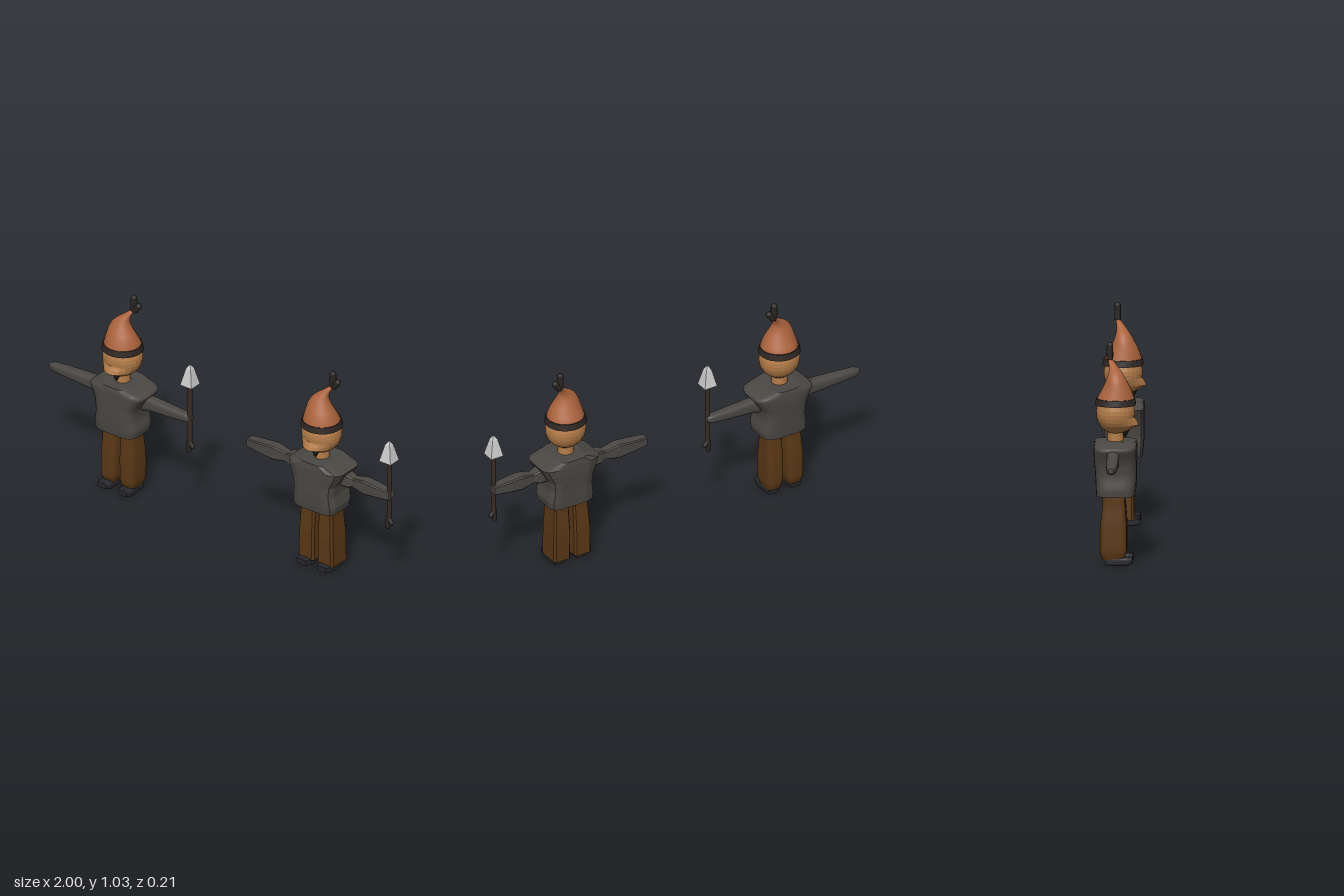
import * as THREE from 'three';

const COLORS = {
  skin: 0xb27b48, hat: 0xac643e, band: 0x2f2723, shirt: 0x4b4844, pants: 0x5a3816,
  shoe: 0x26272c, wood: 0x3a2b21, feather: 0x2a2522, metal: 0xcccccc,
};
const mat = (name, flat) => new THREE.MeshStandardMaterial({ color: COLORS[name], flatShading: flat });

// Closed loft through rings [y, centreX, centreZ, halfX, halfZ]; e < 1 squares the section
function loft(rings, sides, e, steps = 1) {
  const n = (rings.length - 1) * steps;
  const a = new THREE.CatmullRomCurve3(rings.map(r => new THREE.Vector3(r[1], r[0], r[2])));
  const b = new THREE.CatmullRomCurve3(rings.map(r => new THREE.Vector3(r[3], 0, r[4])));
  const pos = [], idx = [];
  const power = v => Math.sign(v) * Math.pow(Math.abs(v), e);
  const addRing = t => {
    const c = a.getPoint(t), s = b.getPoint(t);
    for (let j = 0; j < sides; j++) {
      const w = (j + 0.5) / sides * Math.PI * 2;
      pos.push(c.x + power(Math.cos(w)) * s.x, c.y, c.z + power(Math.sin(w)) * s.z);
    }
    return c;
  };
  for (let i = 0; i <= n; i++) addRing(i / n);
  for (let i = 0; i < n; i++) {
    for (let j = 0; j < sides; j++) {
      const p = i * sides + j, q = i * sides + (j + 1) % sides;
      idx.push(p, p + sides, q, q, p + sides, q + sides);
    }
  }
  // End caps with their own vertices, so their edges stay sharp
  for (const t of [0, 1]) {
    const start = pos.length / 3;
    const c = addRing(t);
    pos.push(c.x, c.y, c.z);
    for (let j = 0; j < sides; j++) {
      const p = start + j, q = start + (j + 1) % sides;
      if (t) idx.push(p, start + sides, q);
      else idx.push(p, q, start + sides);
    }
  }
  const g = new THREE.BufferGeometry();
  g.setAttribute('position', new THREE.Float32BufferAttribute(pos, 3));
  g.setIndex(idx);
  g.computeVertexNormals();
  return g;
}

// Faceted ball with a jaw pushed forward
function headGeometry() {
  const g = new THREE.SphereGeometry(1, 24, 16).scale(0.098, 0.097, 0.09);
  const p = g.attributes.position;
  for (let i = 0; i < p.count; i++) {
    const x = p.getX(i), y = p.getY(i), z = p.getZ(i);
    if (z <= 0.02) continue;
    const bump = Math.max(0, 1 - Math.abs(y + 0.055) / 0.035);
    p.setZ(i, z + 0.034 * bump * Math.max(0, 1 - (x / 0.085) ** 2));
  }
  g.computeVertexNormals();
  return g;
}

// Two-lobed tuft standing on its origin
function tuft(name, size) {
  const group = new THREE.Group();
  group.name = name;
  for (const [x, y, tilt, len] of [[0, 0.05, 0, 0.062], [0.018, 0.03, -0.65, 0.035]]) {
    const lobe = new THREE.Mesh(new THREE.CapsuleGeometry(0.016, len, 4, 10), mat('feather', false));
    lobe.position.set(x, y, 0);
    lobe.rotation.z = tilt;
    lobe.name = name + 'Lobe';
    group.add(lobe);
  }
  group.scale.setScalar(size);
  return group;
}

function figure(name, smooth) {
  const group = new THREE.Group();
  group.name = name;
  const add = (part, geometry, color, flat = !smooth) => {
    const m = new THREE.Mesh(geometry, mat(color, flat));
    m.name = part;
    group.add(m);
    return m;
  };
  const sides = smooth ? 24 : 8, steps = smooth ? 4 : 1, e = smooth ? 0.5 : 0.25;

  // Shirt
  add('shirt', loft([
    [0.325, 0.003, 0.002, 0.117, 0.09], [0.36, 0.005, 0.003, 0.121, 0.093],
    [0.42, 0.004, 0.003, 0.112, 0.096], [0.47, 0.004, 0.001, 0.117, 0.098],
    [0.51, 0.008, 0, 0.135, 0.1], [0.55, 0.01, 0, 0.155, 0.1], [0.577, 0.004, 0, 0.075, 0.096],
  ], smooth ? 24 : 12, smooth ? 0.5 : 0.4, steps), 'shirt');

  // Sleeves: lofted along the arm, then laid sideways
  const sleeve = smooth
    ? [[0.1, 0.036], [0.16, 0.036], [0.24, 0.031], [0.33, 0.026], [0.4, 0.021], [0.425, 0.012]]
    : [[0.1, 0.036], [0.17, 0.034], [0.2, 0.023], [0.27, 0.037], [0.34, 0.03], [0.425, 0.022]];
  for (const s of [-1, 1]) {
    const reach = s > 0 ? 0.94 : 1;
    const g = loft(sleeve.map(([d, r]) => [d * reach, 0, -0.008, r, Math.min(r, 0.029)]),
      sides, smooth ? 0.7 : 0.25, steps);
    g.rotateZ(-s * Math.PI / 2);
    g.translate(0, 0.5, 0);
    add(s > 0 ? 'leftSleeve' : 'rightSleeve', g, 'shirt');
  }

  // Trouser legs and shoes
  const hem = smooth ? 0.033 : 0.045;
  for (const s of [-1, 1]) {
    const side = s > 0 ? 'left' : 'right';
    add(side + 'Trouser', loft([
      [0.03, s * 0.056, -0.008, hem, smooth ? 0.05 : 0.062],
      [0.07, s * 0.055, -0.008, smooth ? 0.043 : 0.045, 0.062],
      [0.17, s * 0.054, -0.008, 0.045, 0.062],
      [0.28, s * 0.052, -0.006, 0.041, 0.053], [0.36, s * 0.052, -0.006, 0.041, 0.051],
    ], sides, e, steps), 'pants');
    const shoe = loft([
      [-0.045, 0, -0.021, 0.028, 0.019], [0, 0, -0.021, 0.032, 0.021],
      [0.05, 0, -0.021, 0.034, 0.02], [0.08, 0, -0.024, 0.026, 0.014],
    ], sides, e, steps);
    shoe.rotateX(Math.PI / 2);
    shoe.translate(s * 0.059, 0, 0);
    add(side + 'Shoe', shoe, 'shoe');
  }

  // Neck, head and goatee
  add('neck', new THREE.CylinderGeometry(0.034, 0.04, 0.08, 12).translate(0, 0.595, 0), 'skin');
  add('head', headGeometry(), 'skin', true).position.set(0, 0.705, 0);
  const beard = add('goatee', new THREE.ConeGeometry(0.022, 0.042, 8), 'feather', true);
  beard.position.set(0, 0.607, 0.045);
  beard.rotation.x = Math.PI;

  // Bent pointed hat with a dark band and a tuft
  add('hat', loft([
    [0.755, 0, 0, 0.094, 0.092], [0.785, 0, 0.002, 0.086, 0.082],
    [0.82, -0.003, 0.005, 0.074, 0.066], [0.86, -0.008, 0.004, 0.056, 0.047],
    [0.89, -0.004, 0, 0.04, 0.033], [0.92, 0.016, -0.01, 0.022, 0.02],
    [0.95, 0.044, -0.027, 0.01, 0.01],
  ], 24, 1, 4), 'hat', false);
  add('hatBand', loft([[0.744, 0, 0, 0.1, 0.096], [0.774, 0, 0, 0.094, 0.09]], 24, 1), 'band', false);
  const feather = tuft('hatTuft', 0.97);
  feather.position.set(0.045, 0.935, -0.027);
  group.add(feather);

  // Spear
  const spear = new THREE.Group();
  spear.name = 'spear';
  spear.position.set(0.39, 0, -0.002);
  const pole = new THREE.Mesh(new THREE.CylinderGeometry(0.011, 0.011, 0.34, 10), mat('wood', false));
  pole.name = 'spearPole';
  pole.position.y = 0.53;
  const tip = new THREE.Mesh(loft([[0.685, 0, 0, 0.033, 0.033], [0.77, 0, 0, 0.014, 0.014],
    [0.788, 0, 0, 0.003, 0.003]], 4, 1).scale(1.414, 1, 1.414), mat('metal', true));
  tip.name = 'spearTip';
  const butt = tuft('spearButt', 0.72);
  butt.position.set(-0.006, 0.388, 0);
  butt.rotation.x = Math.PI;
  spear.add(pole, tip, butt);
  group.add(spear);
  return group;
}

export function createModel() {
  const model = new THREE.Group();
  model.name = 'hatFigures';
  const rounded = figure('smoothFigure', true);
  rounded.position.x = -0.578;
  const faceted = figure('lowPolyFigure', false);
  faceted.position.x = 0.578;
  model.add(rounded, faceted);
  return model;
}
